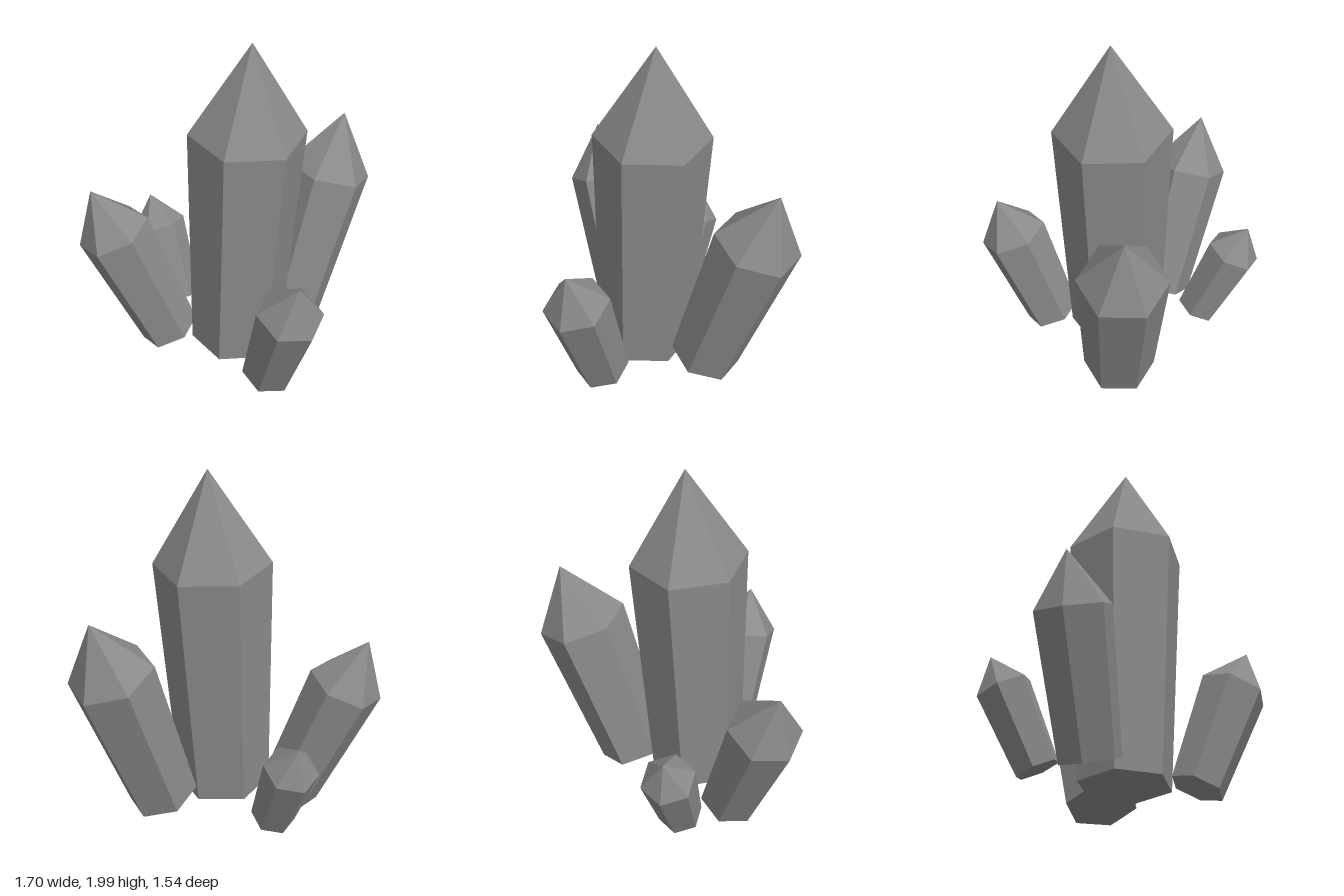
import * as THREE from 'three';

const UP = new THREE.Vector3(0, 1, 0);

// Six-sided crystal: flat base, shaft widening upward, pointed tip.
// twist is the angle in degrees of one corner, from +x toward +z.
function crystal(name, base, tip, radius, twist, material) {
  const foot = new THREE.Vector3(...base);
  const axis = new THREE.Vector3(...tip).sub(foot);
  const height = axis.length();
  const profile = [
    [0, 0],
    [radius * 0.8, 0],
    [radius, height * 0.72],
    [0, height],
  ].map(([r, y]) => new THREE.Vector2(r, y));
  const start = THREE.MathUtils.degToRad(90 - twist);
  const mesh = new THREE.Mesh(new THREE.LatheGeometry(profile, 6, start), material);
  mesh.name = name;
  mesh.position.copy(foot);
  mesh.quaternion.setFromUnitVectors(UP, axis.normalize());
  return mesh;
}

export function createModel() {
  const group = new THREE.Group();
  group.name = 'crystalCluster';
  const stone = new THREE.MeshStandardMaterial({ color: 0x8a8a8a });
  stone.name = 'grey crystal';
  stone.flatShading = true;

  // name, base centre, tip, shoulder radius, twist
  const crystals = [
    ['mainCrystal', [-0.04, 0.06, 0], [0.05, 2, 0.01], 0.327, 15],
    ['rightCrystal', [-0.39, 0.073, -0.19], [-0.775, 1.07, -0.33], 0.211, 16.5],
    ['leftCrystal', [0.337, 0.073, -0.11], [0.73, 1.275, -0.235], 0.25, 16],
    ['frontCrystal', [-0.003, 0.069, 0.384], [0.04, 0.865, 0.68], 0.19, 13.5],
    ['backCrystal', [-0.231, 0.08, -0.455], [-0.302, 0.67, -0.715], 0.155, 13],
  ];
  for (const spec of crystals) group.add(crystal(...spec, stone));
  return group;
}
